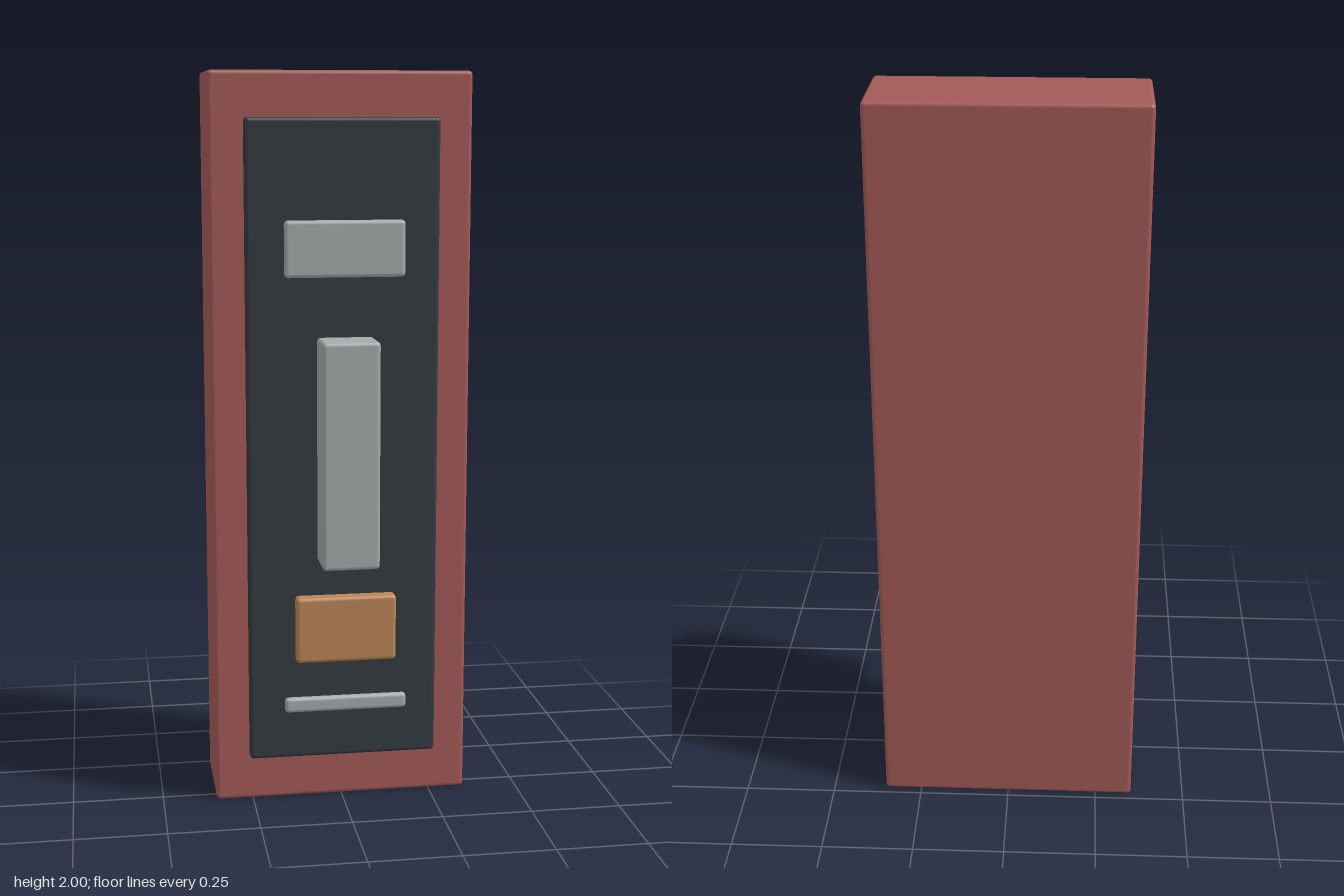
import * as THREE from 'three';
import { RoundedBoxGeometry } from 'three/addons/geometries/RoundedBoxGeometry.js';

function material(name, color) {
  const m = new THREE.MeshStandardMaterial({ color });
  m.name = name;
  return m;
}

export function createModel() {
  const group = new THREE.Group();
  group.name = 'panelUnit';
  const red = material('brick red', 0xa35a58);
  const dark = material('charcoal', 0x343a40);
  const grey = material('pale grey', 0xa3aba9);
  const orange = material('copper orange', 0xba8556);

  // Softly rounded block, given its width and its y and z extents
  function block(name, mat, width, [y0, y1], [z0, z1], radius) {
    const geometry = new RoundedBoxGeometry(width, y1 - y0, z1 - z0, 4, radius);
    const mesh = new THREE.Mesh(geometry, mat);
    mesh.name = name;
    mesh.position.set(0, (y0 + y1) / 2, (z0 + z1) / 2);
    group.add(mesh);
  }

  // Casing and its raised front panel
  block('casing', red, 0.704, [0, 2], [-0.23, 0.044], 0.011);
  block('frontPanel', dark, 0.52, [0.127, 1.88], [0.04, 0.078], 0.011);

  // Fittings held just in front of the panel
  block('upperPlate', grey, 0.322, [1.465, 1.615], [0.093, 0.118], 0.011);
  block('handle', grey, 0.153, [0.7, 1.308], [0.108, 0.23], 0.011);
  block('lowerPlate', orange, 0.274, [0.42, 0.603], [0.101, 0.143], 0.011);
  block('slotBar', grey, 0.335, [0.276, 0.318], [0.11, 0.132], 0.0105);

  return group;
}
